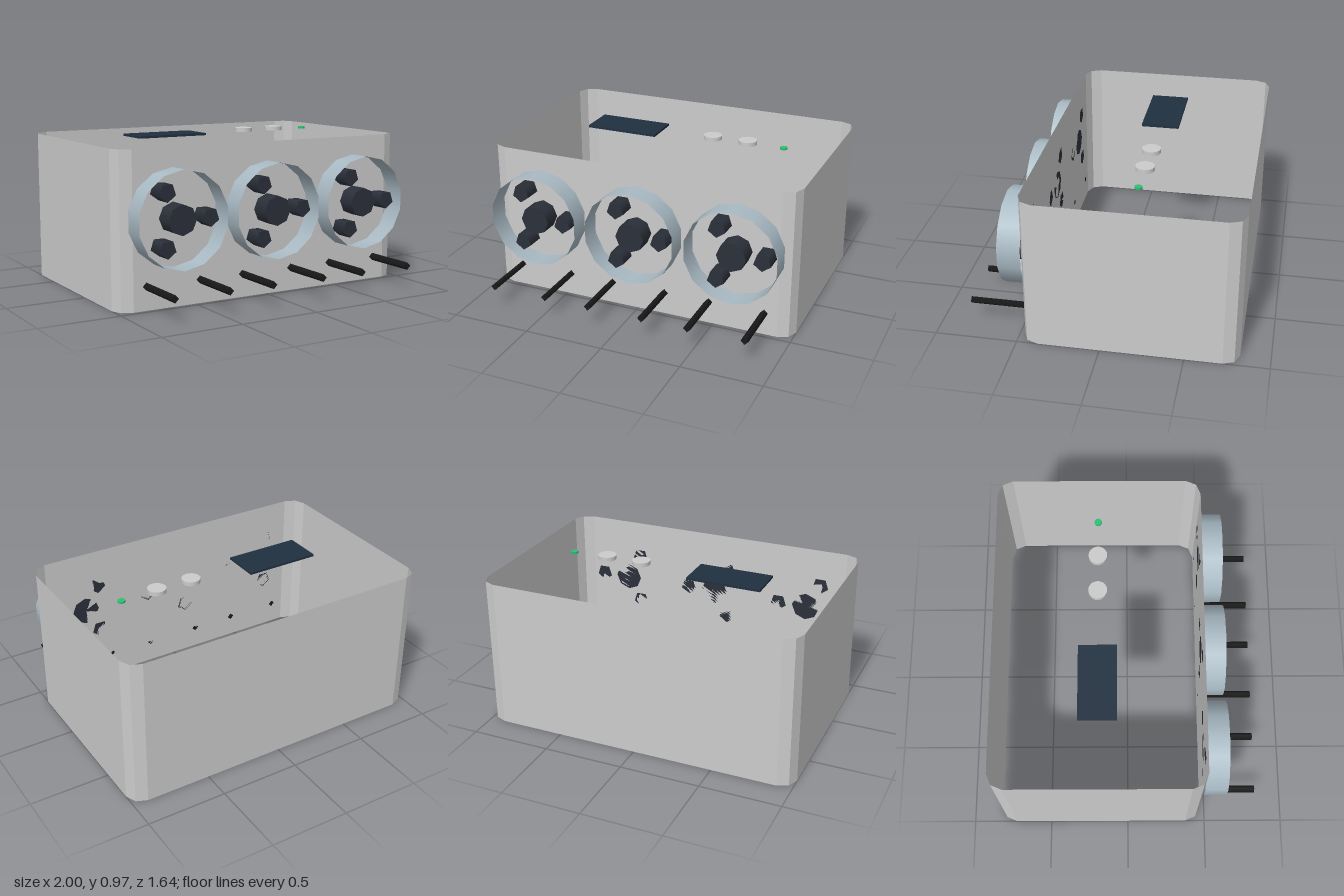
import * as THREE from 'three';

const paint = (color, extra = {}) => new THREE.MeshStandardMaterial({ color, ...extra });

const HEIGHT = 0.94, FRONT = 0.47, BACK = -0.82;

// Open box wall: rounded-rectangle outline swept straight up, two facets per corner
function wallGeometry() {
  const r = 0.095, hx = 1, outline = [];
  const corners = [
    [hx - r, FRONT - r, 0], [-hx + r, FRONT - r, 1],
    [-hx + r, BACK + r, 2], [hx - r, BACK + r, 3],
  ];
  for (const [cx, cz, quarter] of corners) {
    for (let i = 0; i <= 2; i++) {
      const a = (quarter + i / 2) * Math.PI / 2;
      outline.push([cx + r * Math.cos(a), cz + r * Math.sin(a)]);
    }
  }
  const pos = [];
  outline.forEach(([x0, z0], i) => {
    const [x1, z1] = outline[(i + 1) % outline.length];
    pos.push(x0, 0, z0, x0, HEIGHT, z0, x1, HEIGHT, z1);
    pos.push(x0, 0, z0, x1, HEIGHT, z1, x1, 0, z1);
  });
  const geo = new THREE.BufferGeometry();
  geo.setAttribute('position', new THREE.Float32BufferAttribute(pos, 3));
  geo.computeVertexNormals();
  return geo;
}

export function createModel() {
  const model = new THREE.Group();
  model.name = 'controlBox';

  const grey = paint(0xcccccc);
  const shell = paint(0xcccccc, { side: THREE.DoubleSide, flatShading: true });
  const metal = paint(0xa9bac4, { side: THREE.DoubleSide });
  const dark = paint(0x2b303a);
  const black = paint(0x1a1a1a);

  const add = (parent, name, geo, mat, x, y, z) => {
    const mesh = new THREE.Mesh(geo, mat);
    mesh.name = name;
    mesh.position.set(x, y, z);
    parent.add(mesh);
    return mesh;
  };
  // Cylinder standing out from the front wall
  const forward = (parent, name, radius, depth, sides, mat, x, y, open = false) => {
    const geo = new THREE.CylinderGeometry(radius, radius, depth, sides, 1, open).rotateX(Math.PI / 2);
    return add(parent, name, geo, mat, x, y, FRONT + depth / 2);
  };

  add(model, 'boxWall', wallGeometry(), shell, 0, 0, 0);

  // Three dial units, each with a ring, a hub, three small knobs and two pins
  for (const x of [-0.646, 0, 0.646]) {
    const unit = new THREE.Group();
    unit.name = 'dialUnit';
    unit.position.x = x;
    model.add(unit);
    const cy = 0.532;
    forward(unit, 'ring', 0.2925, 0.14, 14, metal, 0, cy, true);
    forward(unit, 'hub', 0.092, 0.12, 8, dark, 0, cy);
    for (let i = 0; i < 3; i++) {
      const a = i * Math.PI * 2 / 3;
      forward(unit, 'smallKnob', 0.056, 0.115, 5, dark, 0.188 * Math.cos(a), cy + 0.188 * Math.sin(a));
    }
    for (const side of [-1, 1]) {
      forward(unit, 'pin', 0.0235, 0.35, 4, black, side * 0.1765, 0.144);
    }
  }

  // Parts on the top: screen, two buttons and an indicator light
  add(model, 'screen', new THREE.BoxGeometry(0.47, 0.014, 0.235), paint(0x203040), -0.355, HEIGHT + 0.007, -0.18);
  for (const x of [0.234, 0.468]) {
    add(model, 'button', new THREE.CylinderGeometry(0.058, 0.058, 0.026, 20), grey, x, HEIGHT + 0.013, -0.18);
  }
  add(model, 'indicatorLight', new THREE.CylinderGeometry(0.023, 0.023, 0.013, 12), paint(0x2ebf73), 0.703, HEIGHT + 0.0065, -0.18);

  return model;
}
